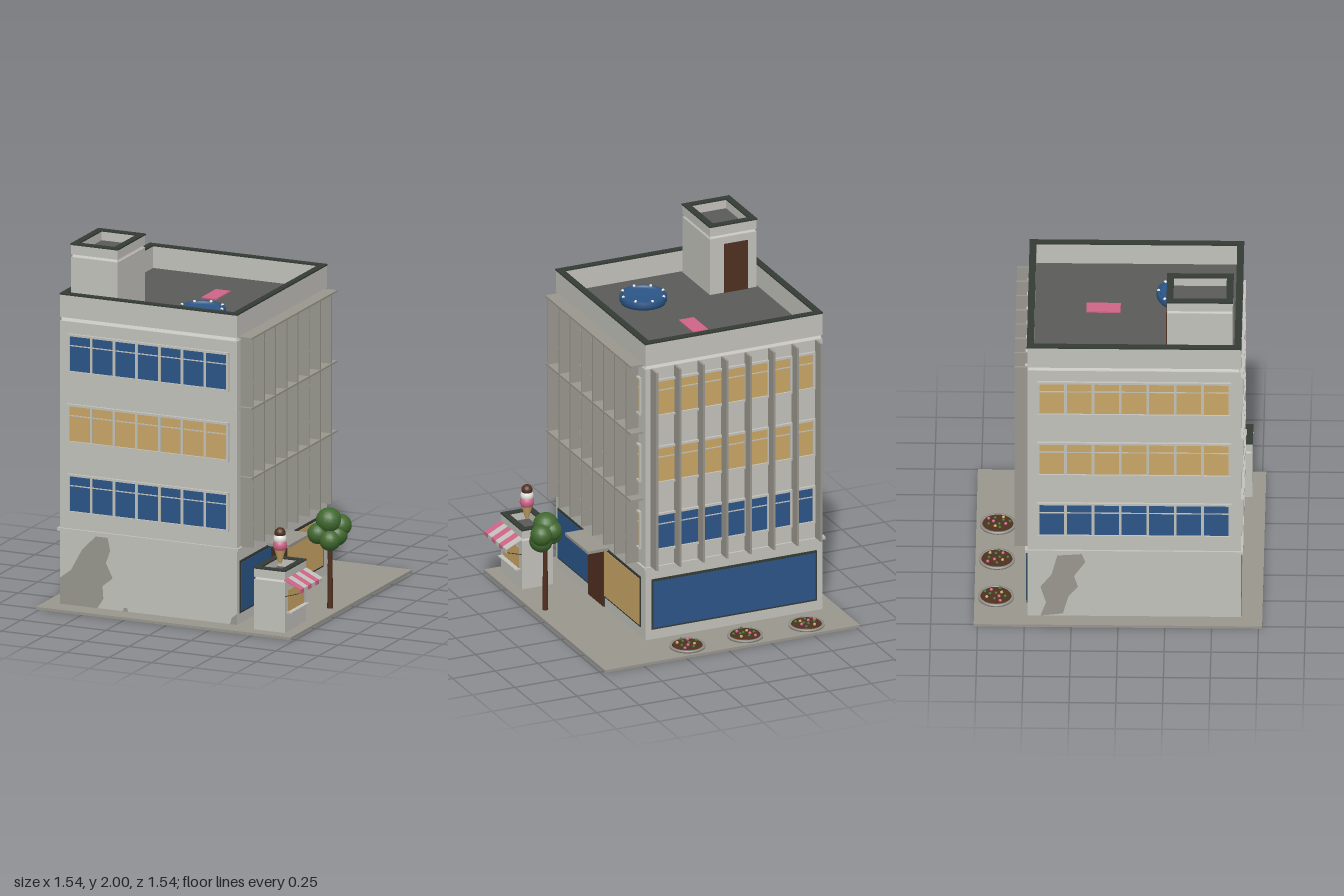
import * as THREE from 'three';

const mat = (name, color) => {
  const m = new THREE.MeshStandardMaterial({ color });
  m.name = name;
  return m;
};

export function createModel() {
  const wall = mat('wall plaster', 0xc2c1bb), trim = mat('white trim', 0xe6e5e0);
  const concrete = mat('concrete', 0x98968d), roof = mat('roof felt', 0x5a5a58);
  const dark = mat('dark coping', 0x343b35), blue = mat('blue', 0x2b5587);
  const tan = mat('tan', 0xc9a566), pink = mat('pink', 0xcf6488);
  const brown = mat('brown', 0x50301f), green = mat('leaf green', 0x41692f);

  const model = new THREE.Group();
  model.name = 'streetCorner';
  const add = (parent, name, geo, m, x = 0, y = 0, z = 0) => {
    const mesh = new THREE.Mesh(geo, m);
    mesh.name = name;
    mesh.position.set(x, y, z);
    parent.add(mesh);
    return mesh;
  };
  // box given by its min and max on each axis
  const box = (parent, name, m, x0, x1, y0, y1, z0, z1) =>
    add(parent, name, new THREE.BoxGeometry(x1 - x0, y1 - y0, z1 - z0), m,
      (x0 + x1) / 2, (y0 + y1) / 2, (z0 + z1) / 2);
  const group = (parent, name, x = 0, y = 0, z = 0) => {
    const g = new THREE.Group();
    g.name = name;
    g.position.set(x, y, z);
    parent.add(g);
    return g;
  };
  const rect = (S, w, d) => {
    const s = new S();
    s.moveTo(-w, -d); s.lineTo(w, -d); s.lineTo(w, d); s.lineTo(-w, d); s.closePath();
    return s;
  };
  // hollow rectangular ring lying flat, w and d are half sizes
  const ring = (parent, name, m, w, d, t, y0, y1) => {
    const s = rect(THREE.Shape, w, d);
    s.holes.push(rect(THREE.Path, w - t, d - t));
    const geo = new THREE.ExtrudeGeometry(s, { depth: y1 - y0, bevelEnabled: false });
    return add(parent, name, geo.rotateX(-Math.PI / 2), m, 0, y0, 0);
  };
  // block with a shadow joint, parapet, dark coping and sunken roof
  const block = (parent, w, d, y0, joint, capY, top, t) => {
    box(parent, 'walls', wall, -w, w, y0, joint, -d, d);
    box(parent, 'joint', trim, -w + 0.006, w - 0.006, joint, capY, -d + 0.006, d - 0.006);
    ring(parent, 'parapet', wall, w, d, t - 0.004, capY, top - 0.008);
    ring(parent, 'coping', dark, w + 0.003, d + 0.003, t, top - 0.008, top);
    box(parent, 'roof', roof, -w + t - 0.006, w - t + 0.006, capY - 0.002, capY + 0.004, -d + t - 0.006, d - t + 0.006);
  };

  // pavement
  box(model, 'pavement', concrete, -0.77, 0.73, 0, 0.015, -0.77, 0.77);

  // main building
  const W = 0.52, D = 0.57;
  const building = group(model, 'building', -0.16, 0, 0.085);
  block(building, W, D, 0.015, 1.58, 1.6, 1.732, 0.037);
  box(building, 'ledge', wall, -W - 0.012, W + 0.012, 0.42, 0.437, -D - 0.012, D + 0.012);

  // one facade seen from outside: u runs to the right, z points out
  const facade = (name, angle, out, half, colors) => {
    const f = group(building, name);
    f.rotation.y = angle;
    const g = group(f, 'surface', 0, 0, out);
    colors.forEach((m, i) => {
      const y0 = 0.53 + i * 0.387, y1 = y0 + 0.205;
      box(g, 'glass', m, -half, half, y0, y1, -0.004, 0.004);
      for (const y of [y0, y1]) box(g, 'windowRail', wall, -half - 0.006, half + 0.006, y - 0.006, y + 0.006, 0, 0.014);
      box(g, 'transom', wall, -half, half, y1 - 0.062, y1 - 0.056, 0, 0.007);
      for (let k = 0; k <= 7; k++) {
        const u = -half + (2 * half * k) / 7;
        box(g, 'mullion', wall, u - 0.007, u + 0.007, y0, y1, 0, 0.01);
      }
    });
    return g;
  };
  const front = facade('frontFacade', 0, D, 0.468, [blue, tan, blue]);
  const right = facade('finnedSideFacade', Math.PI / 2, W, 0.512, [tan, tan, tan]);
  const back = facade('backFacade', Math.PI, D, 0.468, [blue, tan, tan]);
  const left = facade('plainSideFacade', -Math.PI / 2, W, 0.512, [blue, tan, tan]);

  // sun fins and floor shelves
  for (let i = 0; i < 8; i++) {
    const u = -0.518 + i * 0.142, v = -0.483 + i * 0.138;
    box(right, 'fin', concrete, u - 0.006, u + 0.006, 0.437, 1.595, 0, 0.072);
    box(back, 'fin', concrete, v - 0.006, v + 0.006, 0.437, 1.58, 0, 0.07);
  }
  for (const y of [0.823, 1.208, 1.597]) box(right, 'shelf', concrete, -0.545, 0.545, y - 0.005, y + 0.005, 0, 0.074);

  // ground floor shop windows and door
  const shopWindow = (g, m, u0, u1) => {
    box(g, 'shopFrame', dark, u0 - 0.01, u1 + 0.01, 0.072, 0.362, 0, 0.005);
    box(g, 'shopGlass', m, u0, u1, 0.082, 0.348, 0, 0.008);
  };
  shopWindow(right, blue, -0.53, -0.155);
  shopWindow(right, tan, 0.06, 0.505);
  shopWindow(back, blue, -0.475, 0.475);
  box(right, 'doorFrame', dark, -0.15, 0.055, 0.015, 0.34, 0, 0.006);
  box(right, 'door', brown, -0.142, 0.047, 0.015, 0.325, 0, 0.009);
  box(right, 'canopy', concrete, -0.185, 0.105, 0.358, 0.374, 0, 0.125);

  // weathered patches on the plain walls
  const patch = (g, pts) => {
    const s = new THREE.Shape(pts.map(([x, y]) => new THREE.Vector2(x, y)));
    add(g, 'wornPatch', new THREE.ShapeGeometry(s), concrete, 0, 0, 0.002);
  };
  patch(front, [[-0.52, 0.015], [-0.52, 0.16], [-0.455, 0.21], [-0.39, 0.33], [-0.31, 0.41], [-0.24, 0.41],
    [-0.225, 0.34], [-0.25, 0.27], [-0.21, 0.19], [-0.27, 0.14], [-0.265, 0.07], [-0.3, 0.015]].reverse());
  patch(front, [[-0.15, 0.015], [-0.12, 0.015], [-0.125, 0.035], [-0.145, 0.035]]);
  patch(front, [[0.48, 0.015], [0.52, 0.015], [0.52, 0.075], [0.49, 0.05]]);
  patch(left, [[-0.5, 0.015], [-0.38, 0.03], [-0.35, 0.14], [-0.3, 0.2], [-0.32, 0.27], [-0.26, 0.36],
    [-0.28, 0.41], [-0.41, 0.4], [-0.44, 0.28], [-0.5, 0.2], [-0.47, 0.1]]);

  // stair house on the roof
  const stair = group(model, 'stairHouse', -0.5, 0, 0.435);
  block(stair, 0.137, 0.175, 1.6, 1.925, 1.94, 2, 0.037);
  box(stair, 'stairDoor', brown, -0.085, 0.055, 1.604, 1.885, -0.18, -0.174);

  // paddling pool and towel
  const pool = group(model, 'pool', 0, 1.604, 0.323);
  const poolProfile = [[0, 0], [0.12, 0], [0.128, 0.015], [0.128, 0.04], [0.12, 0.05], [0.11, 0.046], [0.106, 0.034], [0, 0.034]];
  add(pool, 'poolBasin', new THREE.LatheGeometry(poolProfile.map(p => new THREE.Vector2(...p)), 32), blue);
  for (let i = 0; i < 8; i++) {
    const a = (i * Math.PI) / 4;
    add(pool, 'poolStud', new THREE.SphereGeometry(0.009, 8, 6), trim, 0.117 * Math.cos(a), 0.047, 0.117 * Math.sin(a));
  }
  box(model, 'towel', pink, -0.15, -0.063, 1.6, 1.611, -0.178, 0.005);

  // ice cream kiosk
  const kiosk = group(model, 'kiosk', 0.572, 0, 0.565);
  block(kiosk, 0.09, 0.134, 0.015, 0.293, 0.306, 0.36, 0.034);
  box(kiosk, 'hatch', tan, 0.088, 0.094, 0.125, 0.245, -0.1, 0.1);
  box(kiosk, 'counter', wall, 0.088, 0.12, 0.118, 0.126, -0.11, 0.11);
  const stripe = 0.28 / 6;
  for (let i = 0; i < 6; i++) {
    const z = -0.14 + (i + 0.5) * stripe, m = i % 2 ? pink : wall;
    add(kiosk, 'awningStripe', new THREE.BoxGeometry(0.105, 0.005, stripe), m, 0.137, 0.286, z).rotation.z = -0.45;
    add(kiosk, 'awningValance', new THREE.BoxGeometry(0.005, 0.022, stripe), m, 0.183, 0.254, z);
  }
  for (const z of [-0.132, 0.132]) {
    add(kiosk, 'awningStrut', new THREE.CylinderGeometry(0.002, 0.002, 0.097, 6), dark, 0.137, 0.23, z).rotation.z = -1.27;
  }
  add(kiosk, 'cone', new THREE.CylinderGeometry(0.034, 0.008, 0.085, 16), tan, 0, 0.401, 0);
  [[pink, 0.458, 0.039], [trim, 0.494, 0.035], [brown, 0.526, 0.03]].forEach(([m, y, r]) =>
    add(kiosk, 'scoop', new THREE.SphereGeometry(r, 20, 14), m, 0, y, 0));

  // tree
  const tree = group(model, 'tree', 0.665, 0, 0.13);
  add(tree, 'trunk', new THREE.CylinderGeometry(0.011, 0.016, 0.4, 10), brown, 0, 0.215, 0);
  [[-0.005, 0.5, 0.005, 0.07], [0.042, 0.468, -0.042, 0.06], [-0.055, 0.43, 0.038, 0.057], [0.015, 0.4, 0.035, 0.058],
    [-0.025, 0.478, -0.03, 0.055], [0.03, 0.42, -0.015, 0.06]].forEach(([x, y, z, r]) =>
    add(tree, 'foliage', new THREE.SphereGeometry(r, 18, 12), green, x, y, z));

  // round flower beds
  [-0.508, -0.148, 0.192].forEach((x, n) => {
    const bed = group(model, 'flowerBed', x, 0.015, -0.655);
    const rim = [[0.083, 0], [0.096, 0], [0.096, 0.012], [0.083, 0.012], [0.083, 0]];
    add(bed, 'bedRim', new THREE.LatheGeometry(rim.reverse().map(p => new THREE.Vector2(...p)).reverse(), 28), concrete);
    add(bed, 'soil', new THREE.CylinderGeometry(0.08, 0.085, 0.014, 28), brown, 0, 0.007, 0);
    for (let i = 0; i < 11; i++) {
      const a = i * 2.4 + n * 1.3, r = 0.066 * Math.sqrt((i + 0.6) / 11);
      add(bed, 'flower', new THREE.SphereGeometry(0.009, 8, 6), [green, pink, green, tan][i % 4],
        r * Math.cos(a), 0.017 + (i % 3) * 0.003, r * Math.sin(a));
    }
  });
  return model;
}
